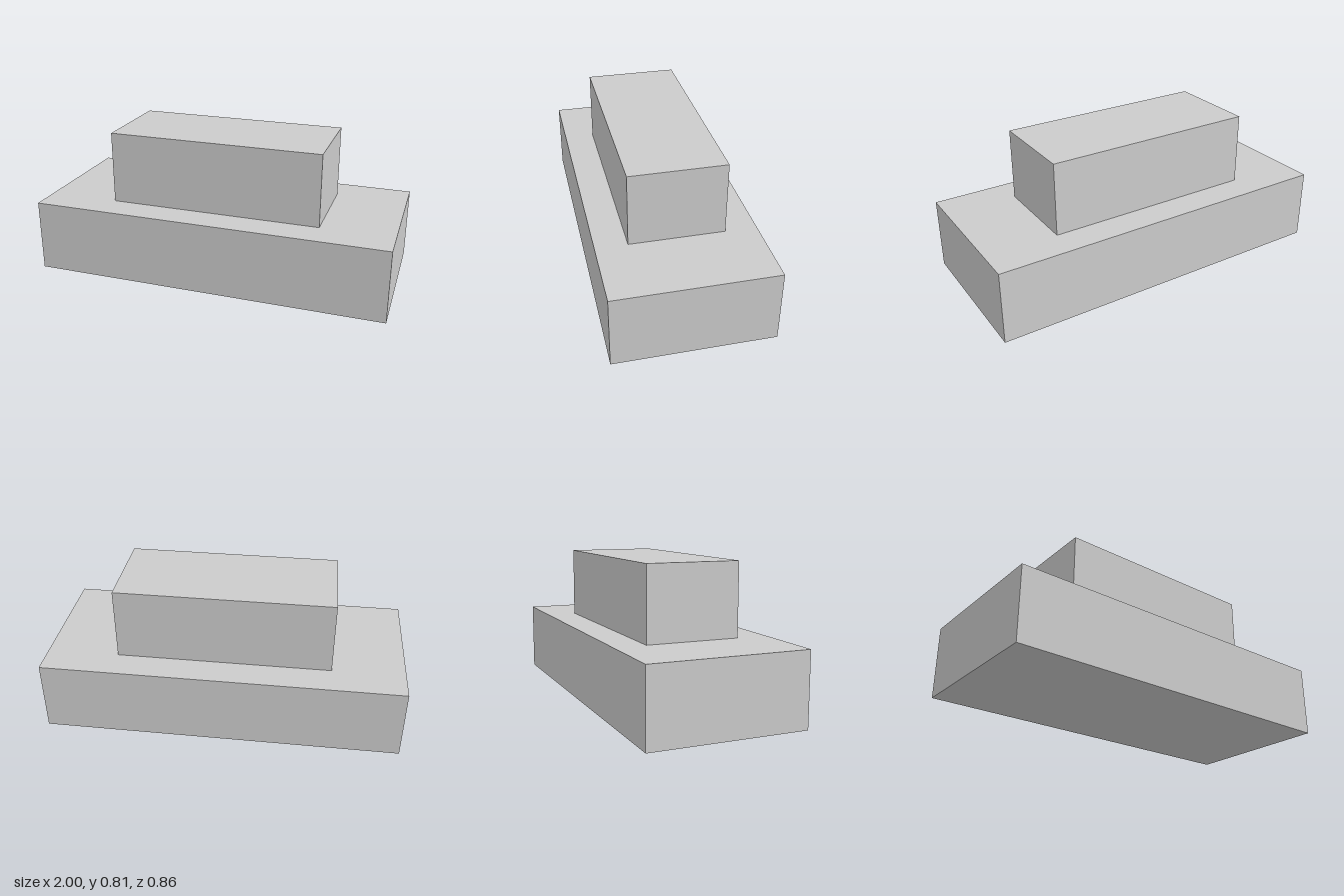
import * as THREE from 'three';

export function createModel() {
  const model = new THREE.Group();
  model.name = 'steppedBlock';
  const material = new THREE.MeshStandardMaterial({ color: 0xcccccc, flatShading: true });

  // Adds a centred block standing on the given height
  function addBlock(name, width, height, depth, bottom) {
    const mesh = new THREE.Mesh(new THREE.BoxGeometry(width, height, depth), material);
    mesh.name = name;
    mesh.position.y = bottom + height / 2;
    model.add(mesh);
  }

  const step = 0.405;
  addBlock('lowerBlock', 2, step, 0.864, 0);
  addBlock('upperBlock', 1.195, step, 0.518, step);

  return model;
}
